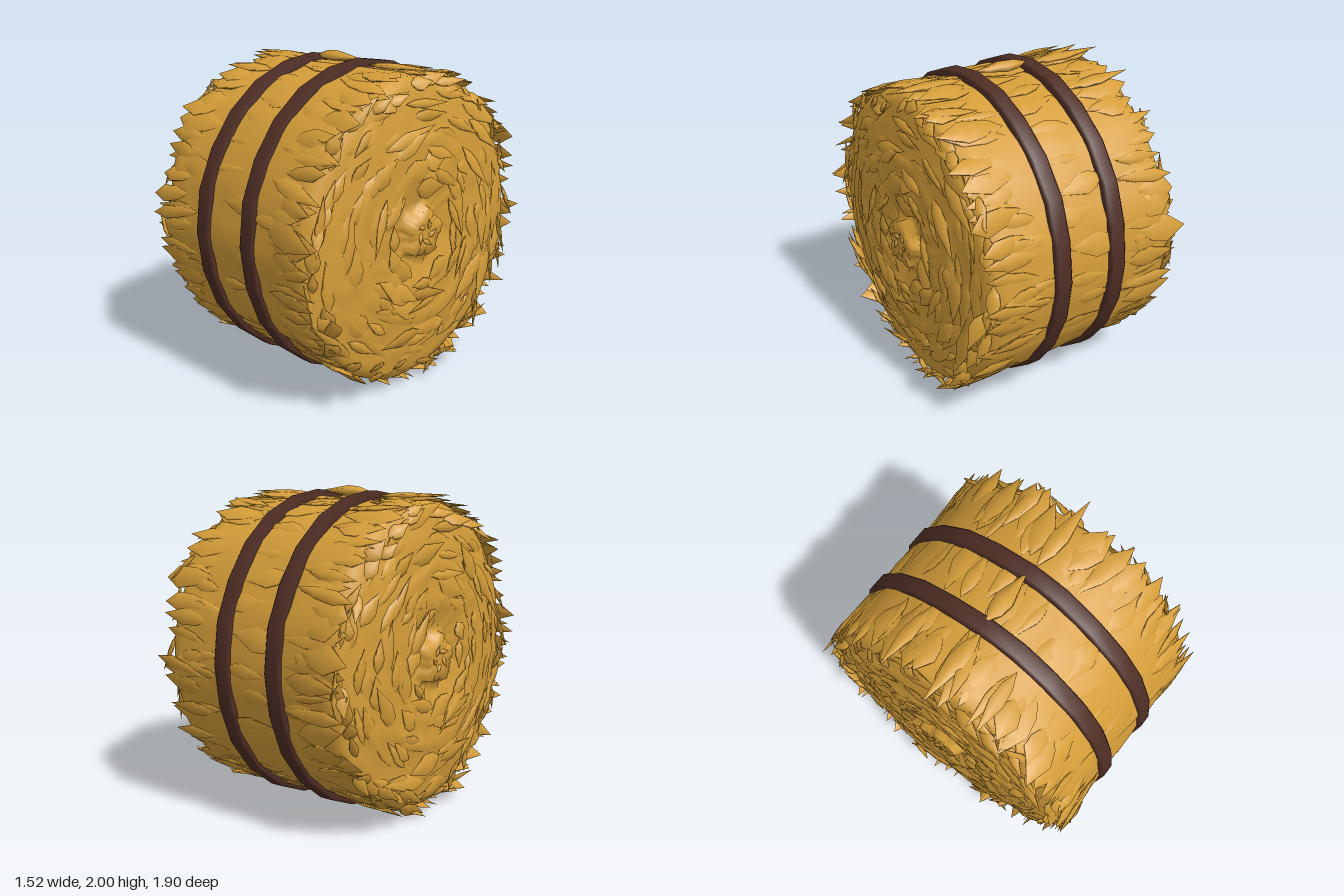
import * as THREE from 'three';
import { mergeGeometries } from 'three/addons/utils/BufferGeometryUtils.js';

const CY = 0.985, STRETCH = 1.03; // bale centre height, slight vertical stretch
const SEG = 60;

let seed = 7;
function rand(lo = 0, hi = 1) {
  seed = (seed * 16807) % 2147483647;
  return lo + (hi - lo) * (seed / 2147483647);
}

// Point and directions on the bale, with the angle measured from the top towards +z
const around = (x, r, a) => new THREE.Vector3(x, CY + r * STRETCH * Math.cos(a), r * Math.sin(a));
const radial = (a) => new THREE.Vector3(0, Math.cos(a), Math.sin(a));
const tangent = (a) => new THREE.Vector3(0, -Math.sin(a), Math.cos(a));

// Domed end face: how far out it lies at each radius
const faceX = (r) => 0.705 - 0.09 * Math.pow(r / 0.92, 4);

// Flat blade, pointed at both ends, widest at the given share of its length
function straw(base, dir, normal, length, width, thick, widest = 0.45) {
  const outline = [[0, 0], [0.8, widest * 0.5], [1, widest], [0.5, widest + (1 - widest) * 0.5], [0, 1]];
  const g = new THREE.LatheGeometry(outline.map(([r, y]) => new THREE.Vector2(r, y)), 6);
  const d = dir.clone().normalize();
  const side = d.clone().cross(normal).normalize();
  const n = side.clone().cross(d);
  const m = new THREE.Matrix4().makeBasis(side, d, n).scale(new THREE.Vector3(width / 2, length, thick / 2));
  m.setPosition(base);
  return g.applyMatrix4(m);
}

// Rumpled roll: rings from the +x centre over the side to the -x centre
function rollGeometry() {
  // Step out from the domed face, and radius
  const face = [[0.01, 0], [0.015, 0.07], [0.015, 0.135], [-0.04, 0.15], [-0.045, 0.2], [-0.01, 0.3], [0.005, 0.38], [-0.015, 0.4],
    [0, 0.5], [0.005, 0.56], [-0.015, 0.58], [0, 0.7], [-0.015, 0.73], [0, 0.82], [-0.005, 0.87]];
  const half = [...face.map(([dx, r]) => [faceX(r) + dx, r]), [0.605, 0.905], [0.54, 0.92]];
  const wall = [[0.4, 0.92], [0.27, 0.918], [0.18, 0.912], [0.06, 0.92], [-0.06, 0.92], [-0.2, 0.912], [-0.3, 0.918], [-0.42, 0.92]];
  const profile = [...half, ...wall, ...half.map(([x, r]) => [-x, r]).reverse()];
  const ridge = Array.from({ length: SEG }, () => rand(-0.014, 0.008));
  const pos = [], index = [];
  profile.forEach(([x, r], i) => {
    for (let j = 0; j < SEG; j++) {
      const a = (j / SEG) * Math.PI * 2;
      const rough = r > 0.1 ? 1 : 0;
      const rr = r + rough * (r > 0.85 ? ridge[j] + rand(-0.005, 0.005) : 0.015 * Math.sin(5 * a + i));
      const p = around(x + rough * (r < 0.9 ? rand(-0.008, 0.008) : 0), rr, a);
      pos.push(p.x, p.y, p.z);
      if (i < profile.length - 1) {
        const k = (j + 1) % SEG, b = i * SEG, c = b + SEG;
        if (r > 0) index.push(b + j, c + j, b + k);
        if (profile[i + 1][1] > 0) index.push(b + k, c + j, c + k);
      }
    }
  });
  const g = new THREE.BufferGeometry();
  g.setAttribute('position', new THREE.Float32BufferAttribute(pos, 3));
  g.setIndex(index);
  g.computeVertexNormals();
  return g;
}

// Blades lying on the outer wall and sticking out past the rim of one end
function rimStraws(s) {
  const list = [];
  const count = 66;
  for (let i = 0; i < count; i++) {
    const a = ((i + rand(-0.45, 0.45)) / count) * Math.PI * 2;
    const tip = rand(0.64, 0.74), length = tip - rand(0.26, 0.42);
    const dir = new THREE.Vector3(s, 0, 0)
      .addScaledVector(tangent(a), rand(-0.25, 0.25))
      .addScaledVector(radial(a), rand(-0.05, 0.07));
    const n = radial(a).addScaledVector(tangent(a), rand(-0.25, 0.25));
    list.push(straw(around(s * (tip - length), rand(0.908, 0.92), a), dir, n, length, rand(0.08, 0.2), 0.03, rand(0.45, 0.75)));
  }
  // Wisps that follow the rounded edge
  for (let i = 0; i < 48; i++) {
    const a = ((i + rand(-0.45, 0.45)) / 48) * Math.PI * 2;
    const r = rand(0.8, 0.9);
    const dir = tangent(a).multiplyScalar(rand() < 0.7 ? -s : s)
      .addScaledVector(radial(a), rand(-0.1, 0.2))
      .add(new THREE.Vector3(s * rand(0.05, 0.45), 0, 0));
    const n = radial(a).add(new THREE.Vector3(s * 1.2, 0, 0));
    list.push(straw(around(s * (faceX(r) - 0.01), r, a), dir, n, rand(0.14, 0.26), rand(0.06, 0.12), 0.03));
  }
  return mergeGeometries(list);
}

// Swirl of flat blades wound around one end face
function endSwirl(s) {
  const list = [];
  const out = new THREE.Vector3(s, 0, 0);
  for (let r = 0.28; r < 0.85; r += 0.08) {
    const count = Math.round(4 + r * 13);
    for (let i = 0; i < count; i++) {
      const a = ((i + rand(-0.45, 0.45)) / count) * Math.PI * 2;
      const length = rand(0.2, 0.5) * (0.5 + r * 0.6);
      const dir = tangent(a).multiplyScalar(rand() < 0.75 ? -s : s)
        .addScaledVector(radial(a), rand(-0.45, 0))
        .addScaledVector(out, rand(-0.02, 0.1));
      const normal = out.clone().addScaledVector(radial(a), rand(-0.25, 0.45));
      const at = r + rand(-0.03, 0.03);
      list.push(straw(around(s * (faceX(at) - rand(0.003, 0.015)), at, a), dir, normal, length, rand(0.06, 0.16), 0.03));
    }
  }
  // Small tuft in the core
  for (let i = 0; i < 5; i++) {
    const a = i * 1.257;
    list.push(straw(around(s * 0.715, 0.04, a), tangent(a).addScaledVector(out, 0.2), out, 0.08, 0.035, 0.02));
  }
  return mergeGeometries(list);
}

// Flat blades along the wall, beside and between the straps
function wallStraws() {
  const list = [];
  for (let i = 0; i < 100; i++) {
    const a = (i + rand(-0.5, 0.5)) * 0.06283, s = i % 2 ? -1 : 1;
    const start = i % 3 ? rand(0.2, 0.35) : rand(-0.25, -0.1);
    const dir = new THREE.Vector3(s, 0, 0).addScaledVector(tangent(a), rand(-0.15, 0.15));
    const n = radial(a).addScaledVector(tangent(a), rand(-0.15, 0.15));
    list.push(straw(around(s * start, rand(0.908, 0.916), a), dir, n, rand(0.3, 0.4), rand(0.06, 0.18), 0.024));
  }
  // Ridge of loose straw on the crown
  const up = new THREE.Vector3(0, 1, 0);
  list.push(straw(new THREE.Vector3(-0.2, 1.965, 0), new THREE.Vector3(1, 0, 0), up, 0.38, 0.13, 0.07));
  for (const s of [-1, 1]) {
    list.push(straw(new THREE.Vector3(s * 0.24, 1.94, 0.01), new THREE.Vector3(s, 0.02, 0), up, 0.52, 0.12, 0.04));
  }
  return mergeGeometries(list);
}

// Soft-edged strap running around the roll
function strapGeometry(x, phase) {
  const profile = [[0.89, -0.052], [0.945, -0.055], [0.958, -0.04], [0.958, 0.04], [0.945, 0.055], [0.89, 0.052]]
    .map(([r, y]) => new THREE.Vector2(r, y));
  const g = new THREE.LatheGeometry(profile, 24).rotateZ(-Math.PI / 2);
  const p = g.attributes.position;
  for (let i = 0; i < p.count; i++) {
    const a = Math.atan2(p.getZ(i), p.getY(i));
    p.setX(i, p.getX(i) + x + 0.004 * Math.sin(3 * a + phase) + 0.003 * Math.sin(8 * a));
    p.setY(i, CY + p.getY(i) * 1.028);
    p.setZ(i, p.getZ(i) * 0.987);
  }
  return g;
}

export function createModel() {
  seed = 7;
  const hay = new THREE.MeshStandardMaterial({ color: 0xd49d39 });
  hay.name = 'hay';
  const leather = new THREE.MeshStandardMaterial({ color: 0x4e2d24 });
  leather.name = 'darkStrap';

  const model = new THREE.Group();
  model.name = 'hayBale';
  const add = (name, geometry, material) => {
    const mesh = new THREE.Mesh(geometry, material);
    mesh.name = name;
    model.add(mesh);
  };

  add('roll', rollGeometry(), hay);
  add('wallStraws', wallStraws(), hay);
  for (const [s, side] of [[1, 'left'], [-1, 'right']]) {
    add(side + 'RimStraws', rimStraws(s), hay);
    add(side + 'EndSwirl', endSwirl(s), hay);
  }
  add('rightStrap', strapGeometry(-0.215, 0), leather);
  add('leftStrap', strapGeometry(0.183, 2), leather);
  return model;
}
